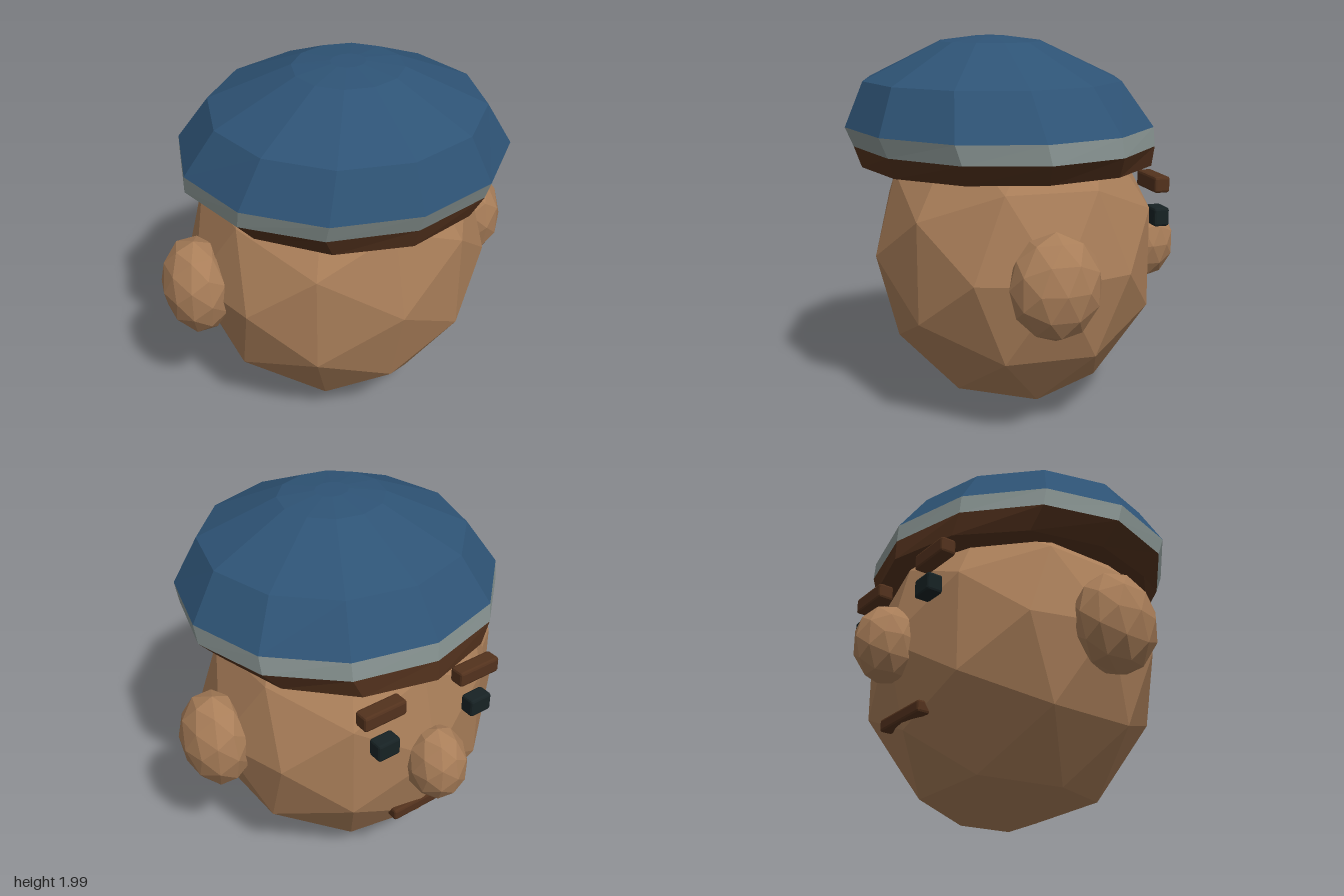
import * as THREE from 'three';
import { RoundedBoxGeometry } from 'three/addons/geometries/RoundedBoxGeometry.js';

const paint = (color) => new THREE.MeshStandardMaterial({ color, flatShading: true });
const skin = paint(0xa97e59);
const blue = paint(0x2e5375);
const grey = paint(0x8a9694);
const brown = paint(0x53321d);
const dark = paint(0x172224);

// Faceted ball stretched to the given radii
function ball(name, radii, position) {
  const geometry = new THREE.IcosahedronGeometry(1, 1).scale(...radii);
  const mesh = new THREE.Mesh(geometry, skin);
  mesh.name = name;
  mesh.position.set(...position);
  return mesh;
}

// Small box with bevelled edges
function block(name, size, position, material) {
  const mesh = new THREE.Mesh(new RoundedBoxGeometry(...size, 1, 0.013), material);
  mesh.name = name;
  mesh.position.set(...position);
  return mesh;
}

// Twelve-sided loft through rings [y, x radius, z radius, z centre], listed upwards
function loft(name, rings, material) {
  const sides = 12;
  const points = [];
  const corner = ([y, rx, rz, cz], i) => {
    const a = (i / sides) * Math.PI * 2;
    return [rx * Math.sin(a), y, cz + rz * Math.cos(a)];
  };
  for (let r = 0; r < rings.length - 1; r++) {
    const [low, high] = [rings[r], rings[r + 1]];
    for (let i = 0; i < sides; i++) {
      const a = corner(low, i), b = corner(low, i + 1);
      const c = corner(high, i + 1), d = corner(high, i);
      if (low[1] > 0) points.push(...a, ...b, ...c);
      else points.push(...a, ...c, ...d);
      if (low[1] > 0 && high[1] > 0) points.push(...a, ...c, ...d);
    }
  }
  const geometry = new THREE.BufferGeometry();
  geometry.setAttribute('position', new THREE.Float32BufferAttribute(points, 3));
  geometry.computeVertexNormals();
  const mesh = new THREE.Mesh(geometry, material);
  mesh.name = name;
  return mesh;
}

export function createModel() {
  const model = new THREE.Group();
  model.name = 'cappedHead';

  // Head and nose; the face looks towards -z
  model.add(ball('head', [0.82, 0.85, 0.76], [0, 0.86, 0.02]));
  model.add(ball('nose', [0.155, 0.21, 0.175], [0, 0.84, -0.74]));

  // Paired features
  for (const [side, s] of [['left', 1], ['right', -1]]) {
    model.add(ball(side + 'Ear', [0.18, 0.268, 0.23], [s * 0.82, 0.867, 0.05]));
    model.add(block(side + 'Eye', [0.13, 0.1, 0.085], [s * 0.295, 1.055, -0.693], dark));
    model.add(block(side + 'Eyebrow', [0.25, 0.085, 0.085], [s * 0.297, 1.243, -0.662], brown));
  }
  model.add(block('mouth', [0.36, 0.066, 0.07], [0, 0.482, -0.62], brown));

  // Cap: brown rim, grey stripe and blue crown leaning towards +z
  const rimBottom = [1.34, 0.745, 0.778, 0.058];
  const rimTop = [1.45, 0.85, 0.795, 0.08];
  const stripeTop = [1.55, 0.855, 0.812, 0.105];
  const hat = new THREE.Group();
  hat.name = 'cap';
  hat.add(loft('capRim', [[1.34, 0, 0, 0.058], rimBottom, rimTop], brown));
  hat.add(loft('capStripe', [rimTop, stripeTop], grey));
  hat.add(loft('capCrown', [
    stripeTop,
    [1.78, 0.70, 0.68, 0.14],
    [1.975, 0.28, 0.27, 0.15],
    [2.0, 0.09, 0.08, 0.15],
    [2.0, 0, 0, 0.15],
  ], blue));
  model.add(hat);

  return model;
}
